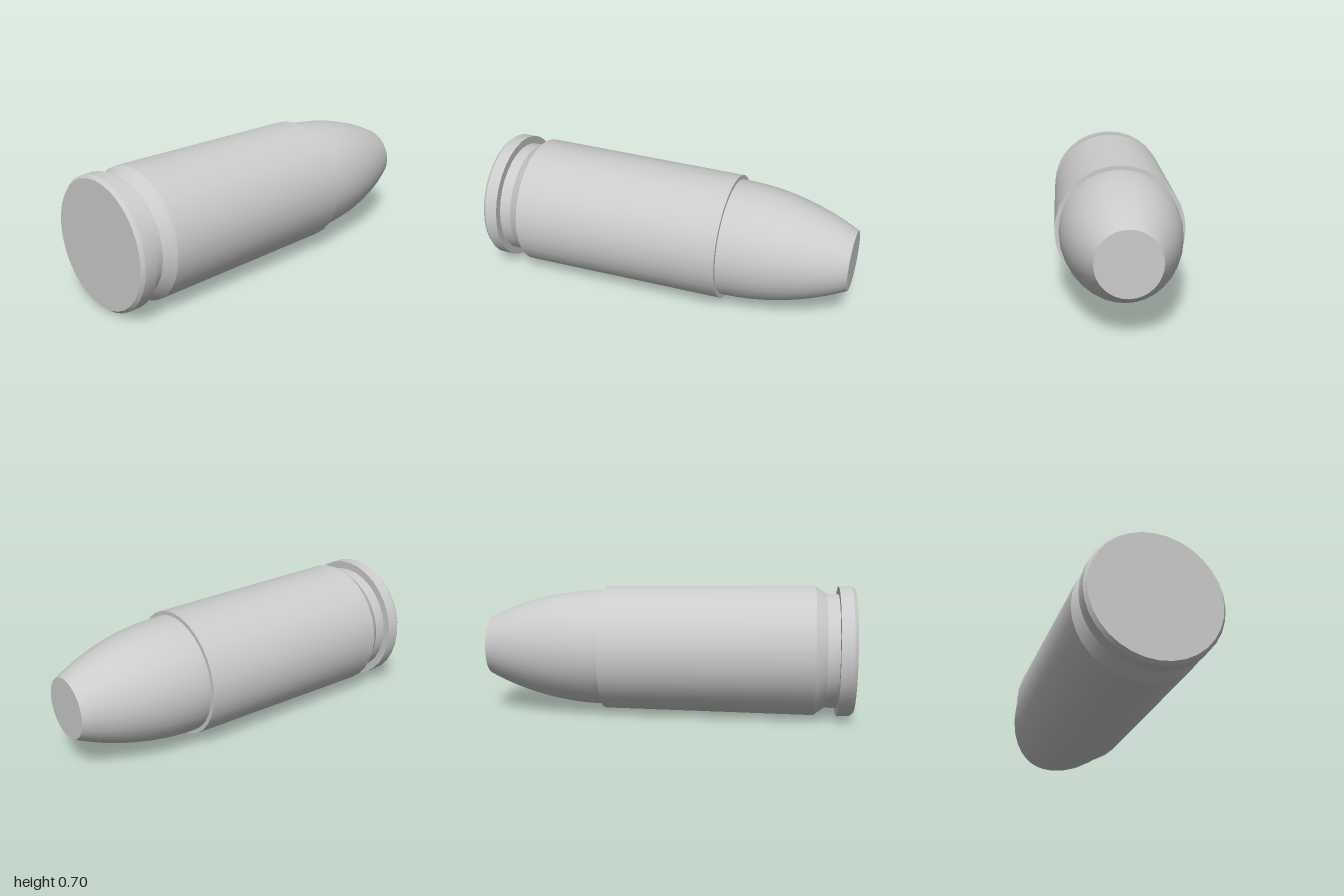
import * as THREE from 'three';
import { toCreasedNormals } from 'three/addons/utils/BufferGeometryUtils.js';

const SIDES = 32;
const AXIS_HEIGHT = 0.352;
const material = new THREE.MeshStandardMaterial({ color: 0xcccccc });

// Turned part along x, from [x, radius] pairs running base to tip
function turned(name, profile) {
  const points = profile.map(([x, r]) => new THREE.Vector2(r, x));
  const geometry = new THREE.LatheGeometry(points, SIDES).rotateZ(-Math.PI / 2);
  const mesh = new THREE.Mesh(toCreasedNormals(geometry, 0.35), material);
  mesh.name = name;
  return mesh;
}

// Tangent arc from the case mouth to the flat tip
function noseProfile(x0, r0, x1, r1, steps) {
  const length = x1 - x0, drop = r0 - r1;
  const R = (length * length + drop * drop) / (2 * drop);
  const profile = [];
  for (let i = 0; i <= steps; i++) {
    const t = (length * i) / steps;
    profile.push([x0 + t, r0 - R + Math.sqrt(R * R - t * t)]);
  }
  return profile;
}

export function createModel() {
  const group = new THREE.Group();
  group.name = 'cartridge';

  // Bevelled base rim with a flat back
  group.add(turned('rim', [[-1, 0], [-1, 0.335], [-0.982, 0.35], [-0.914, 0.35], [-0.914, 0.308]]));

  // Extractor groove
  group.add(turned('extractorGroove', [[-0.914, 0.308], [-0.85, 0.308]]));

  // Slightly tapered case with a bevelled shoulder and a thin mouth lip
  group.add(turned('caseBody', [[-0.85, 0.308], [-0.791, 0.35], [0.346, 0.339], [0.346, 0.315]]));

  // Rounded bullet with a flat tip
  group.add(turned('bullet', [...noseProfile(0.346, 0.317, 1, 0.16, 16), [1, 0]]));

  group.position.y = AXIS_HEIGHT;
  return group;
}
